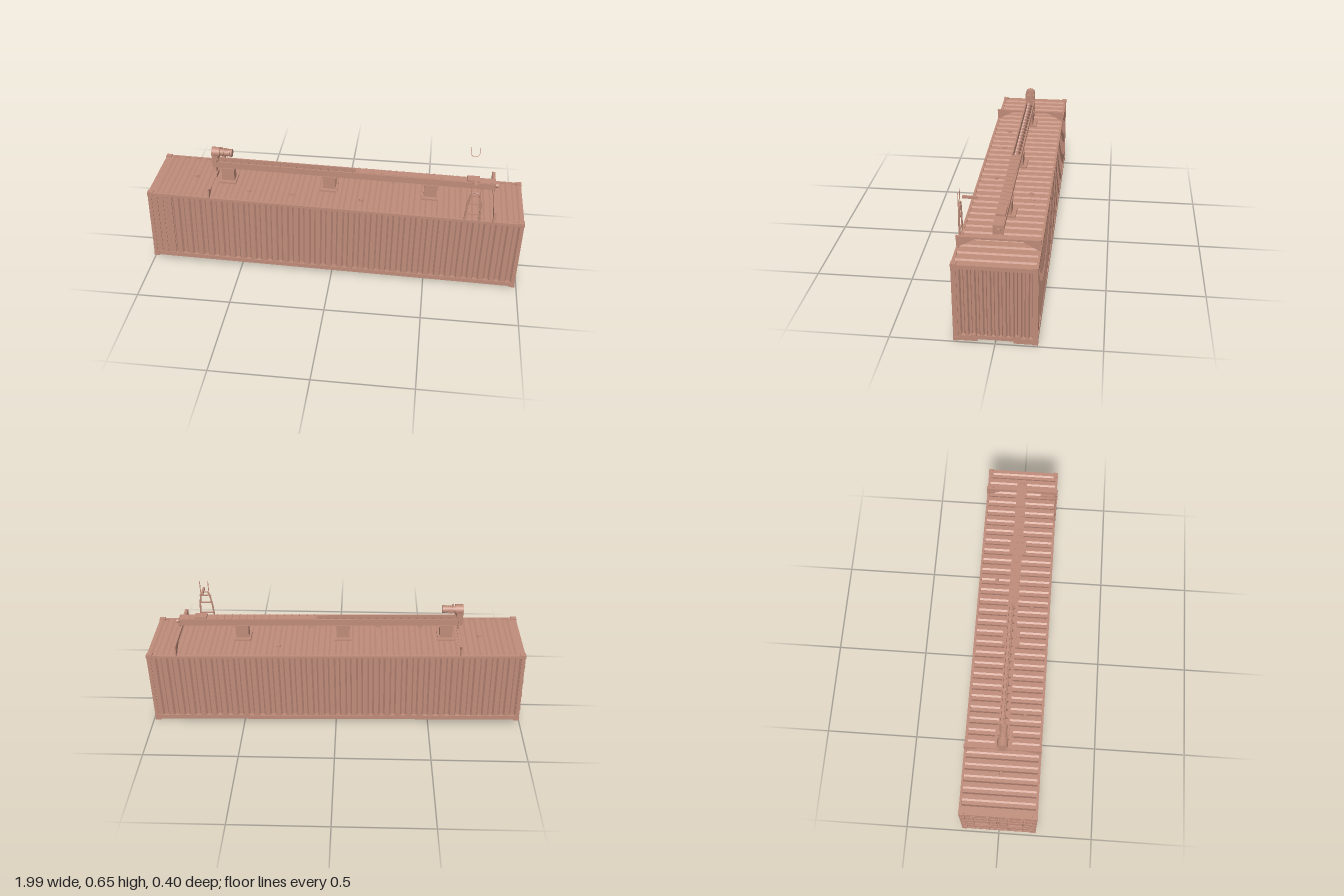
import * as THREE from 'three';

const paint = new THREE.MeshStandardMaterial({ color: 0xbf8c7a, side: THREE.DoubleSide });
paint.name = 'dusty red paint';
const L = 0.99, W = 0.197, H = 0.417; // half length, half width, height

export function createModel() {
  const root = new THREE.Group();
  root.name = 'containerWithConveyor';
  const body = new THREE.Group();
  body.name = 'tiltedBody';
  body.rotation.z = -0.0185;
  body.position.y = 0.0205;
  root.add(body);

  const add = (name, geo, x = 0, y = 0, z = 0) => {
    const m = new THREE.Mesh(geo, paint);
    m.name = name;
    m.position.set(x, y, z);
    body.add(m);
    return m;
  };
  const box = (name, x0, x1, y0, y1, z0, z1) =>
    add(name, new THREE.BoxGeometry(x1 - x0, y1 - y0, z1 - z0), (x0 + x1) / 2, (y0 + y1) / 2, (z0 + z1) / 2);
  // cylinder lying along x
  const rod = (name, x0, x1, y, z, r, n = 20) =>
    add(name, new THREE.CylinderGeometry(r, r, x1 - x0, n).rotateZ(Math.PI / 2), (x0 + x1) / 2, y, z);
  // trapezoid sheet: waves along x, crests at y = 0, extruded along z
  const sheet = (len, span, n, depth) => {
    const p = len / n, top = [];
    for (let i = 0; i < n; i++) {
      const x = -len / 2 + i * p;
      top.push([x, 0], [x + p * 0.4, 0], [x + p * 0.55, -depth], [x + p * 0.85, -depth]);
    }
    top.push([len / 2, 0]);
    const under = top.map(([x, y]) => [x, y - 0.002]).reverse();
    const s = new THREE.Shape([...top, ...under].map(([x, y]) => new THREE.Vector2(x, y)));
    return new THREE.ExtrudeGeometry(s, { depth: span, bevelEnabled: false }).translate(0, 0, -span / 2);
  };

  // corrugated walls and roof
  const wall = () => sheet(1.94, 0.376, 33, 0.012).rotateX(Math.PI / 2);
  add('frontWall', wall(), 0, 0.213, W - 0.003);
  add('backWall', wall().rotateY(Math.PI), 0, 0.213, -W + 0.003);
  add('endWall', sheet(0.35, 0.376, 10, 0.013).rotateX(Math.PI / 2).rotateY(Math.PI / 2), L - 0.004, 0.22, 0);
  add('roof', sheet(1.94, 0.38, 32, 0.006), 0, H - 0.003, 0);

  // rails, posts and corner castings
  for (const s of [-1, 1]) {
    const z0 = s > 0 ? W - 0.012 : -W, z1 = z0 + 0.012;
    box('topRail', -L, L, H - 0.016, H - 0.002, z0, z1);
    box('bottomRail', -L, L, 0.006, 0.03, z0, z1);
    for (const e of [-1, 1]) {
      const x0 = e > 0 ? L - 0.02 : -L, pz = s > 0 ? W - 0.024 : -W;
      box('cornerPost', x0, x0 + 0.02, 0.02, H - 0.01, pz, pz + 0.024);
      for (const y of [0, H - 0.018])
        box('cornerCasting', e > 0 ? L - 0.029 : -L - 0.002, e > 0 ? L + 0.002 : -L + 0.029, y, y + 0.02,
          s > 0 ? W - 0.025 : -W - 0.001, s > 0 ? W + 0.001 : -W + 0.025);
    }
    // end sill pads beside the tunnel, with round ports above
    box('sillPad', L - 0.02, L, 0.002, 0.03, s > 0 ? 0.085 : -W, s > 0 ? W : -0.085);
    rod('portFlange', L - 0.01, L + 0.006, 0.032, s * 0.1, 0.013);
    rod('portHub', L, L + 0.01, 0.032, s * 0.1, 0.005);
  }
  box('endSill', L - 0.018, L - 0.002, 0.012, 0.032, -W, W);
  box('doorSill', -L, -L + 0.02, 0.005, 0.03, -W, W);
  for (const e of [-1, 1]) box('endHeader', e * L - 0.01 - e * 0.01, e * L + 0.01 - e * 0.01, H - 0.024, H - 0.003, -W, W);

  // double doors with raised panels, lock rods and hinges
  for (const s of [-1, 1]) {
    const zc = s * 0.087;
    box('door', -L + 0.008, -L + 0.014, 0.03, H - 0.024, zc - 0.085, zc + 0.085);
    for (let i = 0; i < 5; i++) {
      const y = 0.04 + i * 0.072;
      box('doorPanel', -L + 0.003, -L + 0.008, y, y + 0.05, zc - 0.078, zc + 0.078);
    }
    for (const d of [-0.04, 0.04]) {
      rod('lockRod', -0.19, 0.19, 0, 0, 0.004, 10).rotation.z = Math.PI / 2;
      body.children[body.children.length - 1].position.set(-L, 0.208, zc + d);
      for (const y of [0.04, 0.13, 0.28, 0.37]) box('rodBracket', -L - 0.005, -L + 0.004, y, y + 0.012, zc + d - 0.009, zc + d + 0.009);
    }
    box('lockHandle', -L - 0.005, -L, 0.17, 0.177, zc - 0.045, zc + 0.045);
    for (let i = 0; i < 4; i++) box('hinge', -L - 0.004, -L + 0.006, 0.06 + i * 0.09, 0.08 + i * 0.09, s * 0.178 - 0.01, s * 0.178 + 0.01);
  }

  // floor, cross members and the ribbed tunnel under one end
  box('floor', -L + 0.02, L - 0.02, 0.028, 0.032, -0.187, 0.187);
  for (let i = 0; i < 40; i++) {
    const x = -0.95 + i * 0.0485;
    if (x < 0.32) box('crossMember', x, x + 0.016, 0.007, 0.028, -0.187, 0.187);
    else for (const s of [-1, 1])
      box('sideCrossMember', x, x + 0.016, 0.007, 0.028, s > 0 ? 0.085 : -0.187, s > 0 ? 0.187 : -0.085);
  }
  box('tunnelPlate', 0.31, L - 0.02, 0.022, 0.025, -0.085, 0.085);
  for (let i = 0; i < 28; i++) box('tunnelRib', 0.33 + i * 0.0225, 0.338 + i * 0.0225, 0.017, 0.022, -0.085, 0.085);
  for (const s of [-1, 1]) box('tunnelSide', 0.31, L - 0.02, 0.008, 0.026, s * 0.087 - 0.003, s * 0.087 + 0.003);

  // flat service panel on the front side
  box('servicePanel', -0.965, -0.87, 0.03, H - 0.016, W - 0.01, W - 0.004);
  for (const [x, w] of [[-0.945, 0.006], [-0.918, 0.01], [-0.875, 0.012]])
    box('serviceStrip', x, x + w, 0.035, H - 0.02, W - 0.006, W);

  // gusseted cross frames standing on the roof
  const frame = new THREE.Shape([[-W, 0], [-W, 0.058], [W, 0.058], [W, 0], [0.185, 0], [0.11, 0.042], [-0.11, 0.042], [-0.185, 0]]
    .map(([x, y]) => new THREE.Vector2(x, y)));
  for (const x of [-0.66, 0.828]) {
    add('crossFrame', new THREE.ExtrudeGeometry(frame, { depth: 0.006, bevelEnabled: false }).rotateY(Math.PI / 2), x, H - 0.002, 0);
    box('crossFrameFlange', x, x + 0.016, H + 0.053, H + 0.056, -W, W);
  }

  // conveyor trough with its chutes
  const T0 = -0.65, T1 = 0.83;
  box('troughFloor', T0, T1, 0.497, 0.5, -0.022, 0.022);
  for (const s of [-1, 1]) {
    box('troughSide', T0, T1, 0.497, 0.533, s * 0.021 - 0.0015, s * 0.021 + 0.0015);
    box('troughLip', T0, T1, 0.531, 0.535, s * 0.0235 - 0.0035, s * 0.0235 + 0.0035);
  }
  box('troughEndPlate', T0 - 0.006, T0, 0.437, 0.539, -0.027, 0.027);
  box('troughFarPlate', T1, T1 + 0.005, 0.49, 0.538, -0.026, 0.026);
  rod('farBearing', T1, T1 + 0.022, 0.513, 0, 0.012);
  for (const x of [-0.59, -0.04, 0.5]) {
    box('chute', x - 0.034, x + 0.034, H - 0.004, 0.497, -0.024, 0.024);
    box('chuteTopFlange', x - 0.038, x + 0.038, 0.49, 0.497, -0.028, 0.028);
    box('chuteBase', x - 0.045, x + 0.045, H - 0.004, H + 0.006, -0.045, 0.045);
  }

  // screw inside the open part, ribbed covers on the rest
  rod('screwShaft', T0, T1, 0.516, 0, 0.005, 12);
  const pos = [], idx = [], turns = 18, steps = 16, pitch = 0.043;
  for (let i = 0; i <= turns * steps; i++) {
    const a = (i / steps) * Math.PI * 2, x = T0 + (i / steps) * pitch;
    for (const r of [0.005, 0.016]) pos.push(x, 0.516 + r * Math.cos(a), r * Math.sin(a));
    if (i) { const k = i * 2; idx.push(k - 2, k - 1, k, k - 1, k + 1, k); }
  }
  const screw = new THREE.BufferGeometry();
  screw.setAttribute('position', new THREE.Float32BufferAttribute(pos, 3));
  screw.setIndex(idx);
  screw.computeVertexNormals();
  add('screwBlade', screw);
  box('troughCover', 0.1, T1, 0.534, 0.537, -0.022, 0.022);
  for (let i = 0; i < 14; i++) box('coverRib', 0.11 + i * 0.04, 0.115 + i * 0.04, 0.537, 0.54, -0.024, 0.024);
  box('inletBox', 0.685, 0.75, 0.535, 0.548, -0.023, 0.023);

  // drive: gear housing and finned motor
  box('gearMount', -0.675, -0.652, 0.495, 0.56, -0.018, 0.018);
  box('gearNeck', -0.672, -0.64, 0.545, 0.572, -0.027, 0.027);
  rod('gearHousing', -0.675, -0.632, 0.582, 0, 0.027, 28);
  rod('motor', -0.632, -0.572, 0.583, 0, 0.018, 24);
  for (let i = 0; i < 5; i++) rod('motorFin', -0.622 + i * 0.01, -0.618 + i * 0.01, 0.583, 0, 0.021, 24);
  rod('motorCap', -0.576, -0.565, 0.583, 0, 0.021, 24);
  box('terminalBox', -0.62, -0.595, 0.575, 0.591, -0.03, -0.015);
  box('liftingEye', -0.625, -0.615, 0.603, 0.612, -0.003, 0.003);

  // access hoop with grab rails at the front edge
  const tube = (name, pts, r) => add(name, new THREE.TubeGeometry(
    new THREE.CatmullRomCurve3(pts.map(([x, y, z]) => new THREE.Vector3(x, y, z)), false, 'catmullrom', 0.2), 32, r, 8));
  tube('hoop', [[0.682, 0.405, 0.193], [0.688, 0.5, 0.193], [0.7, 0.57, 0.193], [0.71, 0.582, 0.193],
    [0.736, 0.582, 0.193], [0.746, 0.57, 0.193], [0.756, 0.5, 0.193], [0.76, 0.405, 0.193]], 0.0045);
  for (const y of [0.45, 0.515, 0.56]) box('hoopRung', 0.69, 0.754, y, y + 0.006, 0.19, 0.196);
  for (const x of [0.7, 0.745]) box('grabRail', x, x + 0.004, 0.575, 0.645, 0.195, 0.198);
  box('grabBar', 0.717, 0.728, 0.608, 0.62, 0.107, 0.18);
  // thin flat loop over the back edge
  const loop = new THREE.Shape();
  loop.moveTo(0.698, 0.645).lineTo(0.698, 0.61).absarc(0.723, 0.61, 0.025, Math.PI, Math.PI * 2, false).lineTo(0.748, 0.645)
    .lineTo(0.745, 0.645).lineTo(0.745, 0.61).absarc(0.723, 0.61, 0.022, 0, Math.PI, true).lineTo(0.701, 0.645);
  add('thinLoop', new THREE.ShapeGeometry(loop), 0, 0, -0.15);

  // small roof vents
  for (const [x, z] of [[-0.46, 0.1], [-0.23, 0.1], [0.14, 0.1], [0.3, -0.1], [-0.77, 0]])
    add('roofVent', new THREE.CylinderGeometry(0.009, 0.011, 0.012, 12), x, H + 0.001, z);

  return root;
}
